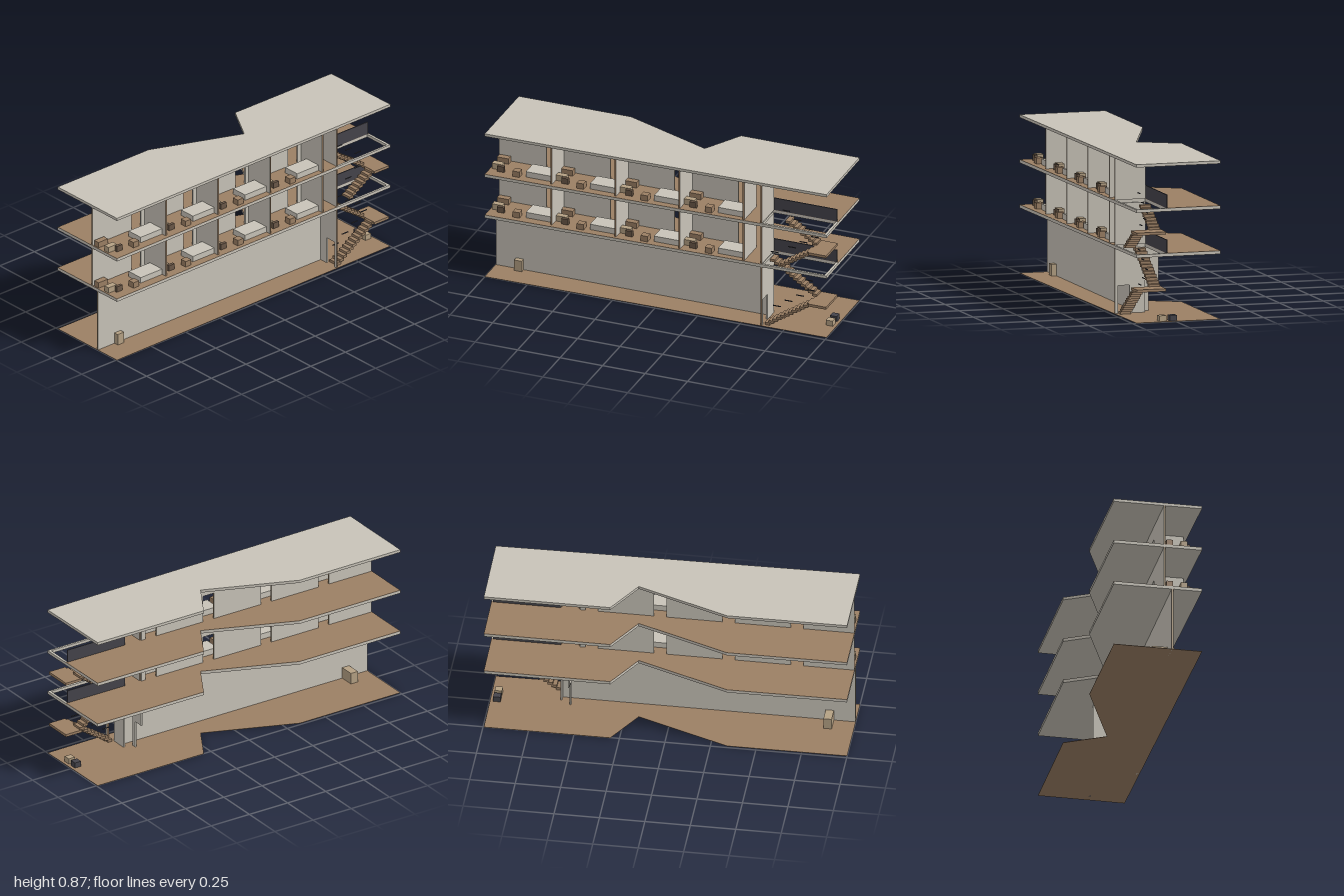
import * as THREE from 'three';

const mat = (name, color, side = THREE.FrontSide) => {
  const m = new THREE.MeshStandardMaterial({ color, side });
  m.name = name;
  return m;
};

export function createModel() {
  const root = new THREE.Group();
  root.name = 'building';
  const concrete = mat('concrete', 0xc8c3b8);
  const brown = mat('brown wood', 0x9b7f64);
  const tan = mat('tan wood', 0xb5a184);
  const darkBrown = mat('dark brown', 0x6b5848);
  const charcoal = mat('charcoal', 0x45444b);

  // Box given by its minimum and maximum on each axis
  const box = (name, material, x0, x1, y0, y1, z0, z1, parent = root) => {
    const mesh = new THREE.Mesh(new THREE.BoxGeometry(x1 - x0, y1 - y0, z1 - z0), material);
    mesh.position.set((x0 + x1) / 2, (y0 + y1) / 2, (z0 + z1) / 2);
    mesh.name = name;
    parent.add(mesh);
    return mesh;
  };

  // Flat plate from [x, z] corners, with an optional hole
  const plate = (name, material, pts, y, thickness, hole) => {
    const toV = ([x, z]) => new THREE.Vector2(x, -z);
    const shape = new THREE.Shape(pts.map(toV));
    if (hole) shape.holes.push(new THREE.Path(hole.map(toV)));
    const geo = new THREE.ExtrudeGeometry(shape, { depth: thickness, bevelEnabled: false });
    geo.rotateX(-Math.PI / 2);
    const mesh = new THREE.Mesh(geo, material);
    mesh.position.y = y;
    mesh.name = name;
    root.add(mesh);
  };

  const notchSide = [[-0.255, -0.995], [-0.255, -0.3], [-0.037, -0.175], [-0.238, 0.34], [-0.235, 1], [0.255, 1]];
  const outline = [...notchSide, [0.227, -1]];
  const floorOutline = [...notchSide, [0.232, -0.61], [0.053, -0.61], [0.053, -0.998]];
  const stairHole = [[0.053, -0.985], [0.215, -0.985], [0.219, -0.61], [0.053, -0.61]];

  // Ground, two floors and roof
  plate('groundFloor', brown, outline, 0, 0.002);
  const floors = [0.378, 0.626];
  for (const y of floors) {
    plate('floorSlab', concrete, outline, y - 0.018, 0.017, stairHole);
    plate('floorFinish', brown, floorOutline, y - 0.001, 0.001);
  }
  plate('roofSlab', concrete, outline, 0.857, 0.016);

  // Walls have coloured end caps: along z the caps face z, across x they face x
  const capsZ = [concrete, concrete, concrete, concrete, tan, tan];
  const capsX = [brown, brown, concrete, concrete, concrete, concrete];

  // Ground storey walls, with a doorway to the stairs
  box('groundLongWall', capsZ, 0.087, 0.097, 0, 0.36, -0.61, 0.999);
  box('stairWallInner', concrete, 0.055, 0.145, 0, 0.36, -0.62, -0.61);
  box('stairWallLintel', concrete, 0.145, 0.212, 0.155, 0.36, -0.62, -0.61);
  box('stairWallOuter', capsX, 0.212, 0.227, 0, 0.36, -0.62, -0.61);
  box('entryWallPost', concrete, 0.02, 0.047, 0, 0.36, -0.565, -0.556);
  box('entryWallLintel', concrete, -0.037, 0.02, 0.155, 0.36, -0.565, -0.556);

  // Ground storey furniture
  box('receptionDesk', tan, 0.002, 0.125, 0, 0.066, 0.835, 0.88);
  box('tanStool', tan, 0.05, 0.09, 0, 0.033, -0.98, -0.94);
  box('darkStool', charcoal, -0.01, 0.03, 0, 0.033, -0.98, -0.94);

  // Guest rooms on each upper storey
  const pitch = 0.377;
  floors.forEach((y, storey) => {
    const top = storey === 0 ? 0.608 : 0.857;
    for (let i = 0; i < 4; i++) {
      const room = new THREE.Group();
      room.name = 'room';
      room.position.set(0, y, -i * pitch);
      root.add(room);
      const h = top - y;
      // Corridor wall around the doorway
      box('corridorWall', capsZ, 0.044, 0.053, 0, h, 0.72, 0.999, room);
      box('corridorWallEnd', concrete, 0.044, 0.053, 0, h, 0.622, 0.65, room);
      box('doorLintel', concrete, 0.044, 0.053, 0.155, h, 0.65, 0.72, room);
      box('partition', capsX, 0.053, 0.227, 0, h, 0.615, 0.625, room);
      // Furniture
      box('bed', concrete, 0.1, 0.2, 0, 0.033, 0.626, 0.78, room);
      box('desk', brown, 0.06, 0.095, 0, 0.033, 0.925, 0.993, room);
      box('armchair', tan, 0.14, 0.175, 0, 0.033, 0.93, 0.99, room);
      box('sideTable', darkBrown, 0.18, 0.197, 0, 0.033, 0.91, 0.95, room);
      box('nightstand', brown, 0.18, 0.22, 0, 0.033, 0.81, 0.85, room);
    }
    box('stairHallWall', capsX, 0.053, 0.227, y, top, -0.62, -0.61);
    box('stairGuard', charcoal, 0.047, 0.053, y, y + 0.073, -0.99, -0.615);
  });

  // Stairs: outer flight up to a landing, inner flight back
  const run = 0.0225;
  const stair = (y0, y1, count) => {
    const group = new THREE.Group();
    group.name = 'stair';
    root.add(group);
    const rise = (y1 - y0) / (2 * count);
    const mid = y0 + rise * count;
    const zTop = -0.9;
    for (let i = 0; i < count; i++) {
      const zUp = zTop + (count - i) * run;
      const zBack = zTop + i * run;
      const ya = y0 + i * rise, yb = mid + i * rise;
      box('outerStep', brown, 0.148, 0.21, ya, ya + rise, zUp - run - 0.006, zUp, group);
      box('innerStep', brown, 0.06, 0.122, yb, yb + rise, zBack, zBack + run + 0.006, group);
      // Short handrail bars
      if (i % 3 === 1) {
        box('outerHandrail', charcoal, 0.145, 0.149, ya + 0.075, ya + 0.08, zUp - 0.045, zUp, group);
        box('innerHandrail', charcoal, 0.121, 0.125, yb + 0.075, yb + 0.08, zBack, zBack + 0.045, group);
      }
    }
    box('landing', brown, 0.055, 0.222, mid - 0.013, mid + 0.002, -0.995, -0.89, group);
  };
  stair(0.002, 0.36, 12);
  stair(0.378, 0.61, 8);

  return root;
}
